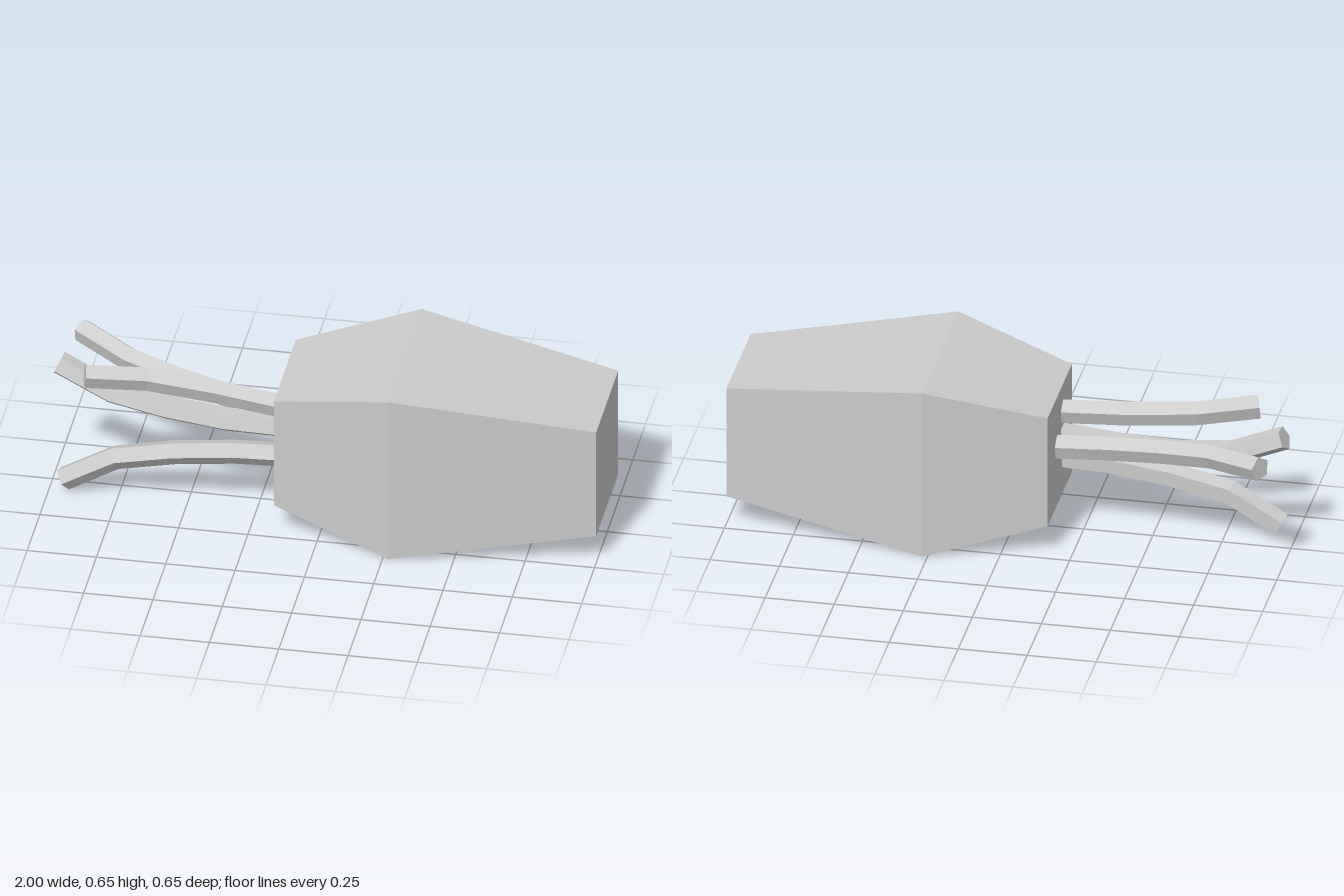
import * as THREE from 'three';

const material = new THREE.MeshStandardMaterial({ color: 0xcccccc, flatShading: true });

function addPart(group, name, geometry) {
  const flat = geometry.index ? geometry.toNonIndexed() : geometry;
  flat.computeVertexNormals();
  const mesh = new THREE.Mesh(flat, material);
  mesh.name = name;
  group.add(mesh);
  return mesh;
}

// Five-sided tube through the points; turn sets where its ridge faces (0 = front, 90 = up)
function tentacleGeometry(path, turn, radius = 0.045, sides = 5) {
  const points = path.map((p) => new THREE.Vector3(...p));
  const last = points.length - 1;
  const position = [];
  const index = [];
  points.forEach((p, i) => {
    const tangent = points[Math.min(i + 1, last)].clone().sub(points[Math.max(i - 1, 0)]).normalize();
    // the root ring lies flat on the body
    if (i === 0) tangent.set(-1, 0, 0);
    const up = new THREE.Vector3(0, 0, 1).cross(tangent).negate().normalize();
    const side = tangent.clone().cross(up).negate();
    for (let j = 0; j < sides; j++) {
      const a = THREE.MathUtils.degToRad(turn) + (j / sides) * Math.PI * 2;
      const v = p.clone()
        .addScaledVector(side, Math.cos(a) * radius)
        .addScaledVector(up, Math.sin(a) * radius);
      position.push(v.x, v.y, v.z);
    }
  });
  // Side faces
  const ccw = new THREE.Vector3(0, 0, 1);
  const up0 = ccw.clone().cross(new THREE.Vector3(-1, 0, 0)).negate();
  const flip = up0.y < 0;
  const tri = (a, b, c) => (flip ? index.push(a, c, b) : index.push(a, b, c));
  for (let i = 0; i < last; i++) {
    for (let j = 0; j < sides; j++) {
      const k = (j + 1) % sides;
      const a = i * sides + j, b = i * sides + k;
      tri(a, b, b + sides);
      tri(a, b + sides, a + sides);
    }
  }
  // End caps
  for (let j = 1; j < sides - 1; j++) {
    const e = last * sides;
    tri(e, e + j, e + j + 1);
    tri(0, j + 1, j);
  }
  const geometry = new THREE.BufferGeometry();
  geometry.setAttribute('position', new THREE.Float32BufferAttribute(position, 3));
  geometry.setIndex(index);
  return geometry;
}

export function createModel() {
  const group = new THREE.Group();
  group.name = 'model';

  // Square body, widest a little way in front of the tentacles
  const profile = [[0, -0.163], [0.215, -0.163], [0.325, 0.27], [0.215, 1], [0, 1]]
    .map(([half, x]) => new THREE.Vector2(half * Math.SQRT2, x));
  const body = new THREE.LatheGeometry(profile, 4, Math.PI / 4);
  body.rotateZ(-Math.PI / 2);
  addPart(group, 'body', body).position.y = 0.325;

  // Four bending tentacles on the small end
  const tentacles = [
    ['upperTentacle', 90, [[-0.163, 0.433, 0.06], [-0.4, 0.456, 0.043], [-0.65, 0.482, 0.045], [-0.865, 0.503, 0.1]]],
    ['middleTentacle', -90, [[-0.163, 0.34, 0.05], [-0.37, 0.332, 0.03], [-0.59, 0.34, 0.0], [-0.79, 0.37, -0.02], [-0.985, 0.458, -0.04]]],
    ['lowerTentacle', 0, [[-0.163, 0.242, 0.08], [-0.33, 0.235, 0.08], [-0.55, 0.207, 0.078], [-0.76, 0.162, 0.076], [-0.947, 0.053, 0.074]]],
    ['backTentacle', 90, [[-0.163, 0.345, -0.047], [-0.35, 0.369, -0.07], [-0.56, 0.397, -0.11], [-0.75, 0.425, -0.165], [-0.947, 0.456, -0.285]]],
  ];
  for (const [name, turn, path] of tentacles) addPart(group, name, tentacleGeometry(path, turn));

  return group;
}
